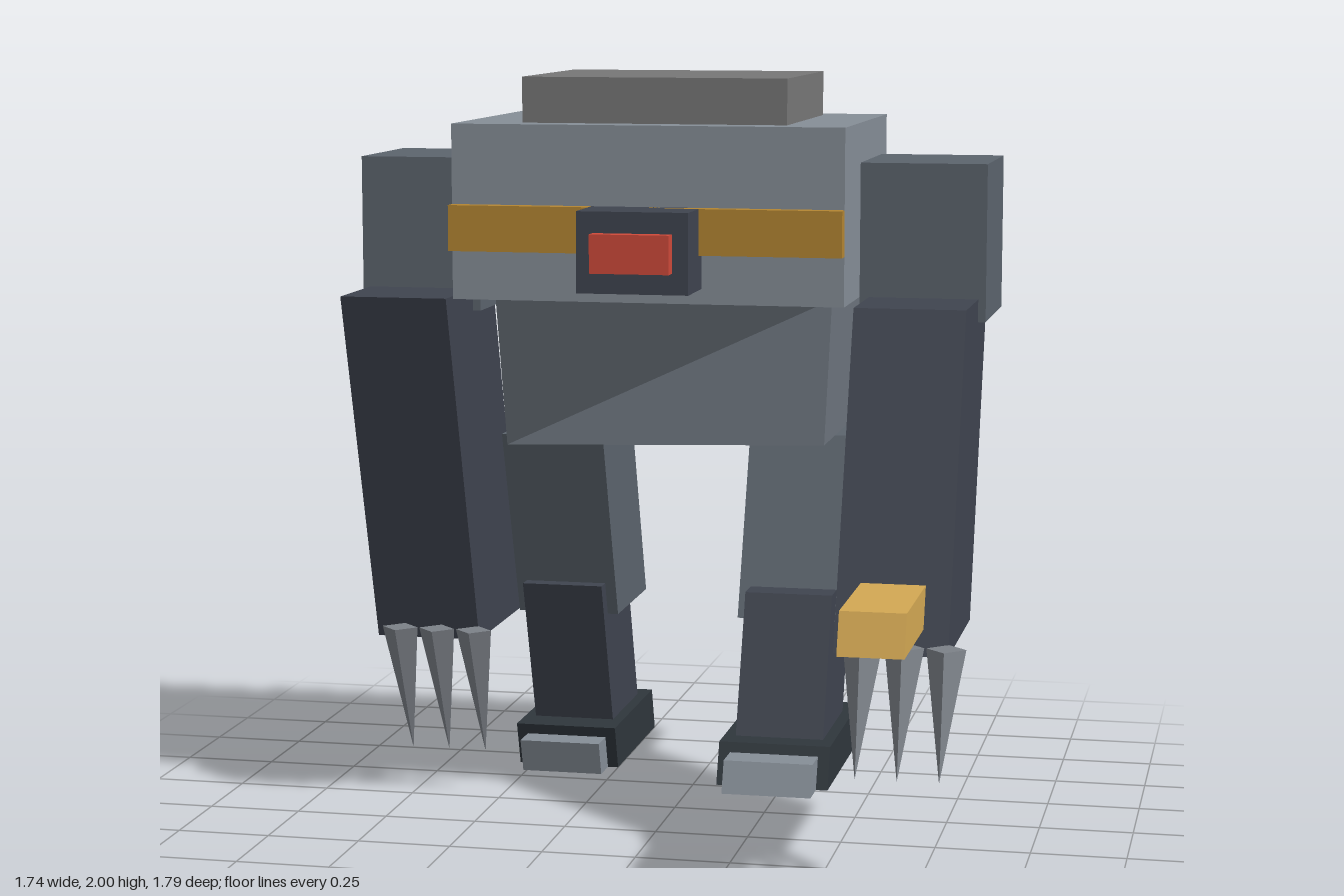
import * as THREE from 'three';

const COLORS = {
  chest: 0x868e97, plate: 0x777777, pelvis: 0x6c747d, joint: 0x5c646d, limb: 0x3f444f,
  foot: 0x2f363c, toe: 0x868e97, band: 0xb48632, lens: 0xcf4a3a, blaster: 0xd3a853, claw: 0x7c8188,
};
const materials = {};
for (const key in COLORS) {
  materials[key] = new THREE.MeshStandardMaterial({ color: COLORS[key], flatShading: true });
}

function addMesh(parent, name, geometry, material) {
  const mesh = new THREE.Mesh(geometry, materials[material]);
  mesh.name = name;
  parent.add(mesh);
  return mesh;
}

// Box between limits; z is [back, front] at the top, and drift slides the bottom along z
function slab(parent, name, material, [x0, x1], [y0, y1], [z0, z1], drift = 0) {
  const geometry = new THREE.BoxGeometry(x1 - x0, y1 - y0, z1 - z0);
  geometry.translate((x0 + x1) / 2, (y0 + y1) / 2, (z0 + z1) / 2);
  const p = geometry.attributes.position;
  for (let i = 0; i < p.count; i++) {
    p.setZ(i, p.getZ(i) + drift * (y1 - p.getY(i)) / (y1 - y0));
  }
  geometry.computeVertexNormals();
  return addMesh(parent, name, geometry, material);
}

// Hips: the underside twists so each side follows its own leg
function addPelvis(parent) {
  const mesh = slab(parent, 'pelvis', 'pelvis', [-0.475, 0.44], [1.05, 1.42], [-0.665, 0.085]);
  const p = mesh.geometry.attributes.position;
  for (let i = 0; i < p.count; i++) {
    if (p.getY(i) > 1.2) continue;
    const leftSide = p.getX(i) > 0;
    p.setY(i, leftSide ? 1.05 : 0.99);
    p.setZ(i, p.getZ(i) + (leftSide ? 0.115 : -0.115));
  }
  mesh.geometry.computeVertexNormals();
}

// Four-sided spikes hanging below a forearm, leaning with it
function addClaws(parent, xs, baseY, tipY, baseZ, tipZ) {
  const height = baseY - tipY;
  for (const x of xs) {
    const geometry = new THREE.ConeGeometry(0.05, height, 4);
    geometry.rotateX(Math.PI);
    geometry.translate(x, (baseY + tipY) / 2, 0);
    const p = geometry.attributes.position;
    for (let i = 0; i < p.count; i++) {
      p.setZ(i, p.getZ(i) + baseZ + (tipZ - baseZ) * (baseY - p.getY(i)) / height);
    }
    geometry.computeVertexNormals();
    addMesh(parent, 'claw', geometry, 'claw');
  }
}

function addGroup(parent, name) {
  const group = new THREE.Group();
  group.name = name;
  parent.add(group);
  return group;
}

export function createModel() {
  const model = new THREE.Group();
  model.name = 'walkingRobot';

  // Torso and face
  slab(model, 'chest', 'chest', [-0.54, 0.50], [1.42, 1.88], [-0.48, 0.27]);
  slab(model, 'topPlate', 'plate', [-0.37, 0.335], [1.88, 2.0], [-0.395, 0.185]);
  slab(model, 'visorBand', 'band', [-0.54, 0.50], [1.55, 1.67], [0.27, 0.31]);
  slab(model, 'eyeHousing', 'limb', [-0.165, 0.127], [1.46, 1.67], [0.27, 0.44]);
  slab(model, 'eyeLens', 'lens', [-0.122, 0.085], [1.515, 1.615], [0.44, 0.48]);
  addPelvis(model);

  // Left arm, swung forward, with blaster
  const leftArm = addGroup(model, 'leftArm');
  slab(leftArm, 'shoulder', 'joint', [0.50, 0.835], [1.36, 1.775], [-0.395, 0]);
  slab(leftArm, 'forearm', 'limb', [0.525, 0.815], [0.58, 1.42], [-0.205, 0.27], 0.295);
  slab(leftArm, 'blaster', 'blaster', [0.585, 0.75], [0.645, 0.75], [0.46, 0.86], 0.037);
  addClaws(leftArm, [0.605, 0.71, 0.815], 0.61, 0.295, 0.60, 0.715);

  // Right arm, swung back
  const rightArm = addGroup(model, 'rightArm');
  slab(rightArm, 'shoulder', 'joint', [-0.87, -0.54], [1.36, 1.775], [-0.395, 0]);
  slab(rightArm, 'forearm', 'limb', [-0.85, -0.56], [0.44, 1.42], [-0.205, 0.27], -0.30);
  addClaws(rightArm, [-0.77, -0.665, -0.56], 0.48, 0.11, 0.03, -0.085);

  // Left leg, stepping forward and lifted
  const leftLeg = addGroup(model, 'leftLeg');
  slab(leftLeg, 'thigh', 'joint', [0.21, 0.50], [0.58, 1.05], [-0.36, 0.015], 0.175);
  slab(leftLeg, 'shin', 'limb', [0.24, 0.47], [0.305, 0.66], [-0.09, 0.24], 0.13);
  slab(leftLeg, 'foot', 'foot', [0.21, 0.50], [0.20, 0.305], [-0.06, 0.44], 0.04);
  slab(leftLeg, 'toe', 'toe', [0.24, 0.47], [0.20, 0.28], [0.42, 0.535], 0.03);

  // Right leg, planted behind
  const rightLeg = addGroup(model, 'rightLeg');
  slab(rightLeg, 'thigh', 'joint', [-0.54, -0.25], [0.45, 0.99], [-0.59, -0.215], -0.185);
  slab(rightLeg, 'shin', 'limb', [-0.51, -0.28], [0.125, 0.545], [-0.65, -0.32], -0.14);
  slab(rightLeg, 'foot', 'foot', [-0.54, -0.25], [0, 0.125], [-0.855, -0.355], -0.04);
  slab(rightLeg, 'toe', 'toe', [-0.51, -0.28], [0, 0.095], [-0.395, -0.28], -0.03);

  return model;
}
